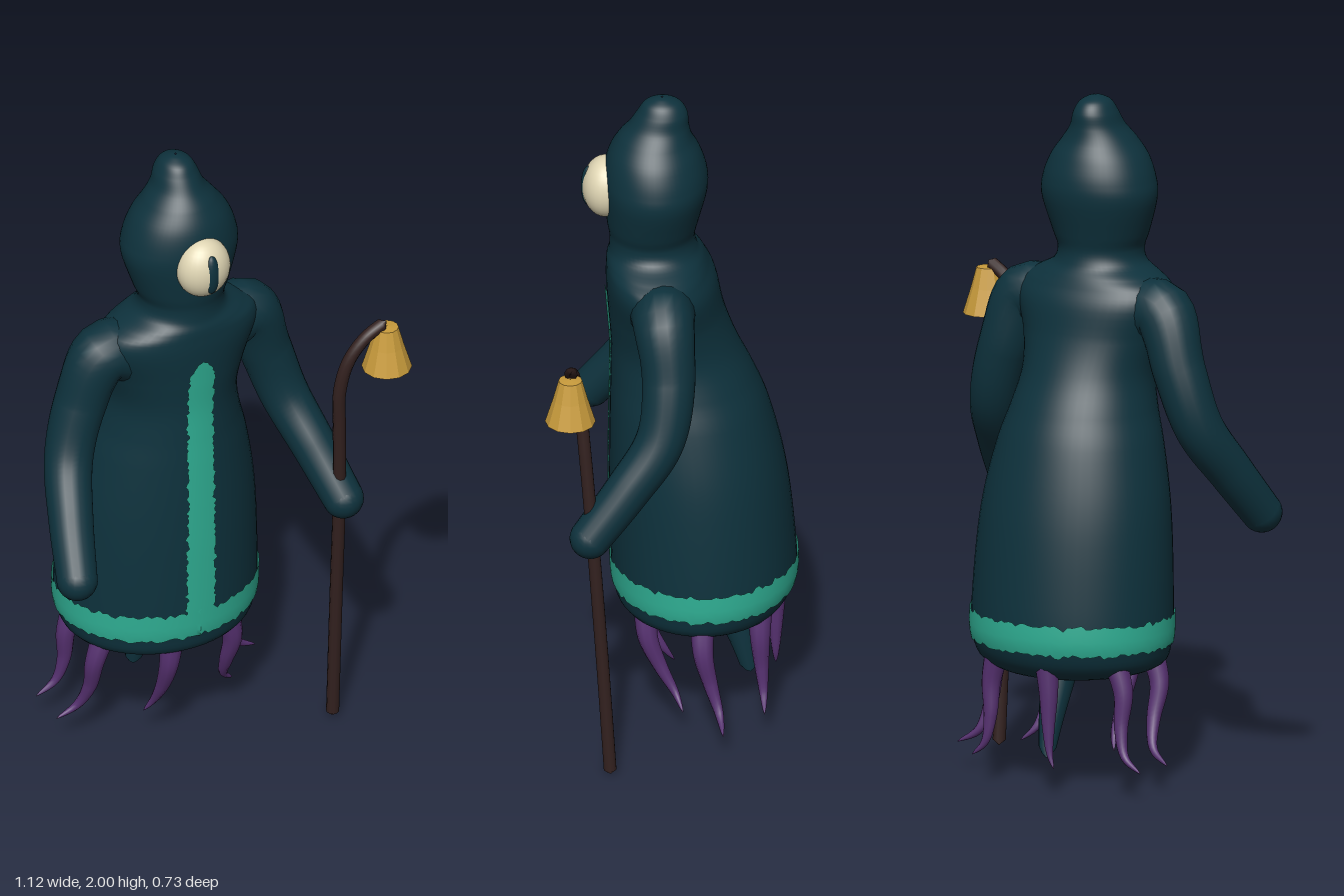
import * as THREE from 'three';
import { ParametricGeometry } from 'three/addons/geometries/ParametricGeometry.js';

const CX = -0.065; // the figure stands a little off centre, beside its staff

const mat = (name, color, side = THREE.FrontSide) => {
  const m = new THREE.MeshStandardMaterial({ color, side });
  m.name = name;
  return m;
};

// Body sections: y, half width, back z, front z
const SECTIONS = [
  [0.325, 0.004, -0.094, -0.086], [0.33, 0.17, -0.25, 0.06], [0.36, 0.27, -0.32, 0.15],
  [0.42, 0.298, -0.352, 0.172], [0.5, 0.302, -0.358, 0.178], [0.7, 0.293, -0.34, 0.182],
  [0.85, 0.277, -0.315, 0.182], [1.0, 0.245, -0.275, 0.18], [1.1, 0.215, -0.235, 0.178],
  [1.2, 0.197, -0.187, 0.178], [1.3, 0.215, -0.15, 0.185], [1.4, 0.25, -0.128, 0.192],
  [1.45, 0.24, -0.105, 0.192], [1.48, 0.195, -0.09, 0.19], [1.51, 0.14, -0.072, 0.183],
  [1.55, 0.127, -0.064, 0.182], [1.6, 0.145, -0.075, 0.19], [1.7, 0.175, -0.1, 0.2],
  [1.76, 0.169, -0.1, 0.199], [1.82, 0.145, -0.082, 0.186], [1.87, 0.108, -0.057, 0.16],
  [1.91, 0.077, -0.047, 0.128], [1.95, 0.062, -0.043, 0.103], [1.98, 0.045, -0.025, 0.083],
  [1.995, 0.022, 0.005, 0.055], [2.0, 0.003, 0.027, 0.033],
];
const shape = new THREE.CatmullRomCurve3(
  SECTIONS.map(([y, w, b, f]) => new THREE.Vector3(w, y, (b + f) / 2)), false, 'catmullrom', 0.5);
const depth = new THREE.CatmullRomCurve3(
  SECTIONS.map(([y, , b, f]) => new THREE.Vector3((f - b) / 2, y, 0)), false, 'catmullrom', 0.5);

// Point on the body surface at parameter t and angle a (0 = front)
function surface(t, a, off, target) {
  const p = shape.getPoint(t), d = depth.getPoint(t).x;
  target.set(CX + (p.x + off) * Math.sin(a), p.y, p.z + (d + off) * Math.cos(a));
}

// Curve parameter for a given height
function paramAt(y) {
  let lo = 0, hi = 1;
  for (let i = 0; i < 22; i++) {
    const mid = (lo + hi) / 2;
    if (shape.getPoint(mid).y < y) lo = mid; else hi = mid;
  }
  return lo;
}

// Repeatable ragged offset between -1 and 1
const ragged = (s) => 0.6 * Math.sin(s * 1.7) * Math.sin(s * 0.61 + 1)
  + 0.4 * (Math.abs((Math.sin(s * 12.9898) * 43758.5453) % 1) * 2 - 1);

// Tapered tube: a unit tube whose rings shrink to radius(t)
function limb(points, radius, rings = 32, sides = 16) {
  const curve = new THREE.CatmullRomCurve3(points.map((p) => new THREE.Vector3(...p)));
  const geo = new THREE.TubeGeometry(curve, rings, 1, sides);
  const pos = geo.attributes.position, v = new THREE.Vector3();
  for (let i = 0; i <= rings; i++) {
    const c = curve.getPointAt(i / rings), r = radius(i / rings);
    for (let j = 0; j <= sides; j++) {
      const k = i * (sides + 1) + j;
      v.fromBufferAttribute(pos, k).sub(c).multiplyScalar(r).add(c);
      pos.setXYZ(k, v.x, v.y, v.z);
    }
  }
  return geo;
}

export function createModel() {
  const group = new THREE.Group();
  const robe = mat('deep teal', 0x0e323d);
  const trim = mat('bright teal', 0x2fae93, THREE.DoubleSide);
  const purple = mat('purple', 0x55306f);
  const cream = mat('cream', 0xe0d6b4);
  const gold = mat('gold', 0xc89b3c, THREE.DoubleSide);
  const wood = mat('dark wood', 0x33211f);

  const add = (name, geo, material, x = 0, y = 0, z = 0) => {
    const m = new THREE.Mesh(geo, material);
    m.name = name;
    m.position.set(x, y, z);
    group.add(m);
    return m;
  };

  // Robe, shoulders and hooded head in one loft
  add('body', new ParametricGeometry((u, v, p) => surface(v, u * Math.PI * 2, 0, p), 56, 110), robe);

  // Ragged hem band
  add('hemBand', new ParametricGeometry((u, v, p) => {
    const s = Math.round((u % 1) * 140);
    const lo = 0.42 + 0.01 * ragged(s), hi = 0.508 + 0.012 * ragged(s + 333);
    surface(paramAt(lo + (hi - lo) * v), u * Math.PI * 2, 0.005, p);
  }, 140, 4), trim);

  // Ragged stripe down the front
  add('frontStripe', new ParametricGeometry((u, v, p) => {
    const y = 0.47 + 0.905 * v, t = paramAt(y), s = Math.round(v * 110);
    const end = Math.min(1, Math.sqrt((1 - v) / 0.06));
    const half = (u < 0.5 ? 0.047 + 0.009 * ragged(s) : 0.047 + 0.009 * ragged(s + 517)) * end * (1 - 0.15 * v);
    surface(t, Math.asin((u * 2 - 1) * half / shape.getPoint(t).x), 0.005, p);
  }, 6, 110), trim);

  // Arms, mirrored about the body's centre line
  for (const side of [1, -1]) {
    const name = side > 0 ? 'left' : 'right';
    const at = (dx, y, z) => [CX + side * dx, y, z];
    const radius = (t) => (t < 0.25 ? 0.1 - 0.08 * t : 0.08 - 0.027 * (t - 0.25));
    add(name + 'Arm', limb([at(0.14, 1.375, 0.03), at(0.235, 1.385, 0.025), at(0.305, 1.22, 0.01),
      at(0.355, 1.06, 0.035), at(0.4, 0.92, 0.13), at(0.438, 0.785, 0.235)], radius, 40, 20), robe);
    add(name + 'Hand', new THREE.SphereGeometry(0.06, 20, 14), robe, ...at(0.438, 0.785, 0.235));
  }

  // Single eye with slit pupil
  add('eye', new THREE.SphereGeometry(1, 28, 20), cream, CX, 1.705, 0.193).scale.set(0.082, 0.093, 0.068);
  add('pupil', new THREE.SphereGeometry(1, 18, 14), robe, CX, 1.705, 0.243).scale.set(0.024, 0.064, 0.021);

  // Ring of tentacles swept outward and back
  for (let i = 0; i < 7; i++) {
    const a = THREE.MathUtils.degToRad(1 + i * 360 / 7);
    const c = Math.cos(a), s = Math.sin(a);
    const x = CX + 0.24 * c, z = -0.09 + 0.21 * s, dz = -0.06 - 0.06 * s;
    add('tentacle' + (i + 1), limb([[x, 0.39, z], [x + 0.03 * c, 0.3, z + 0.05 * dz],
      [x + 0.03 * c, 0.2, z + 0.4 * dz], [x + 0.055 * c, 0.12, z + 0.8 * dz],
      [x + 0.12 * c, 0.08, z + dz]], (t) => 0.035 * Math.pow(1 - t, 0.7) + 0.001, 24, 10), purple);
  }

  // Short tail under the robe
  add('tail', limb([[CX, 0.4, -0.14], [CX, 0.3, -0.17], [CX, 0.2, -0.2], [CX, 0.09, -0.225]],
    (t) => (0.062 - 0.04 * t) * Math.min(1, Math.sqrt((1 - t) / 0.1)), 30, 14), robe);

  // Crooked staff with a hanging bell
  add('staff', limb([[0.37, 0, 0.177], [0.367, 0.4, 0.202], [0.363, 0.8, 0.23], [0.352, 1.05, 0.25],
    [0.347, 1.18, 0.262], [0.37, 1.285, 0.275], [0.42, 1.355, 0.285], [0.484, 1.395, 0.292]],
  (t) => (t === 0 || t === 1 ? 0 : 0.019), 90, 10), wood);

  const bellGeo = new THREE.LatheGeometry([[0.001, 0.138], [0.034, 0.135], [0.05, 0.075], [0.073, 0]]
    .map(([r, y]) => new THREE.Vector2(r, y)), 12).toNonIndexed();
  bellGeo.computeVertexNormals();
  add('bell', bellGeo, gold, 0.485, 1.24, 0.292);

  return group;
}
